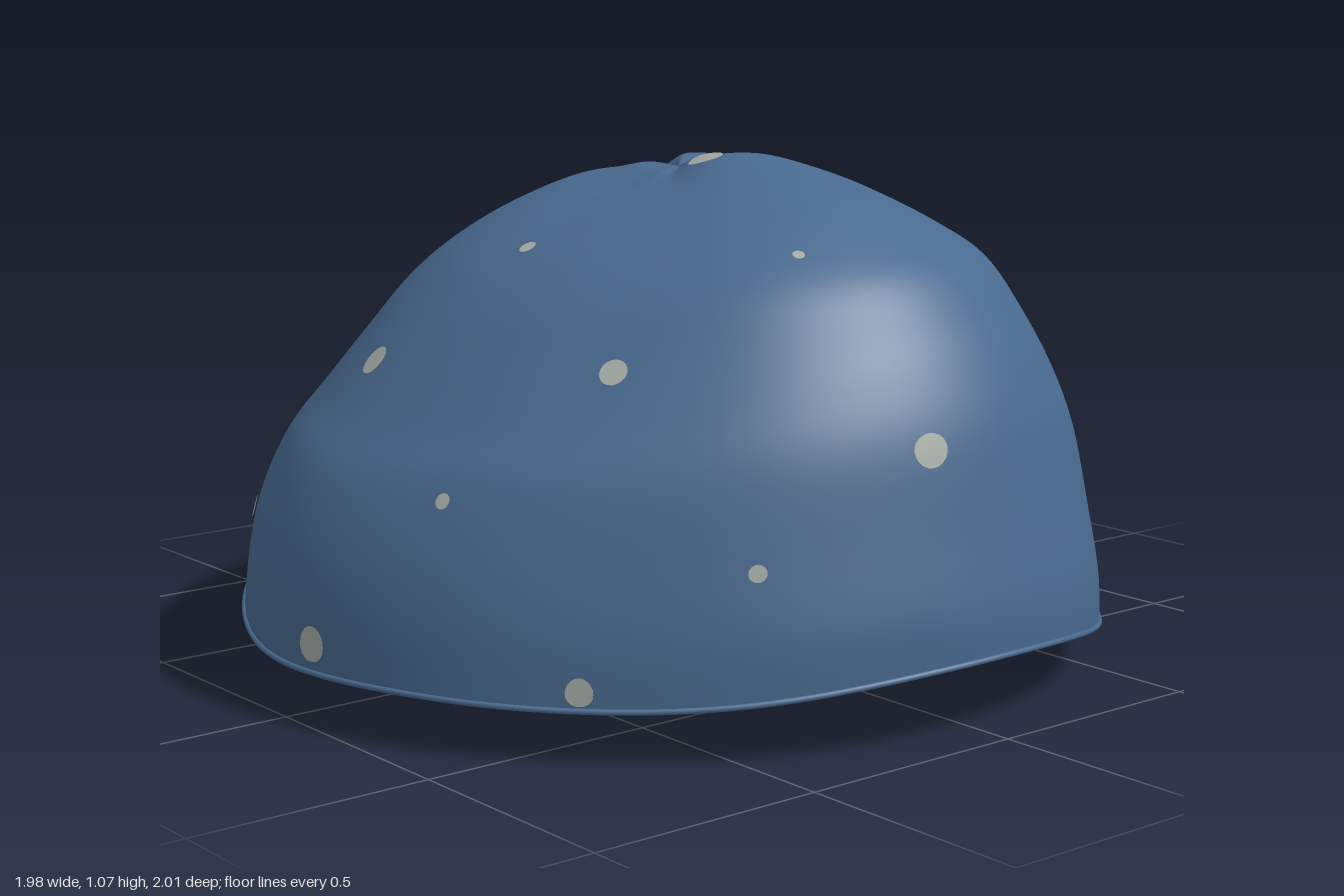
import * as THREE from 'three';
import { mergeVertices } from 'three/addons/utils/BufferGeometryUtils.js';

const mat = (name, color) =>
  new THREE.MeshStandardMaterial({ name, color, side: THREE.DoubleSide });

// Rim radius every 22.5 degrees, turning from +x towards +z
const RIM = [0.975, 0.965, 0.95, 0.98, 0.995, 0.95, 0.895, 0.855, 0.87, 0.9, 0.945, 0.99, 1, 0.955, 0.905, 0.95];

// Crown-to-rim profiles [share of rim radius, height] on the four sides
const PROFILES = [
  [[0, 1.03], [0.08, 1.055], [0.2, 1.07], [0.34, 1.05], [0.47, 1.015], [0.62, 0.955], [0.75, 0.88],
    [0.83, 0.79], [0.89, 0.7], [0.94, 0.58], [0.975, 0.4], [1, 0.26], [1, 0.16]],
  [[0, 1.03], [0.08, 1.025], [0.17, 1.0], [0.28, 0.975], [0.4, 0.93], [0.52, 0.865], [0.62, 0.785],
    [0.71, 0.695], [0.82, 0.575], [0.9, 0.49], [0.96, 0.37], [0.99, 0.25], [1, 0.11]],
  [[0, 1.03], [0.1, 1.035], [0.2, 1.02], [0.32, 1.0], [0.46, 0.945], [0.575, 0.88], [0.667, 0.81],
    [0.75, 0.7], [0.81, 0.62], [0.87, 0.53], [0.92, 0.45], [0.95, 0.37], [1, 0.28]],
  [[0, 1.03], [0.1, 1.045], [0.2, 1.04], [0.34, 0.99], [0.45, 0.94], [0.58, 0.88], [0.65, 0.84],
    [0.75, 0.69], [0.85, 0.51], [0.9, 0.4], [0.94, 0.32], [0.98, 0.18], [1, 0.07]],
].map((p) => new THREE.SplineCurve(p.map(([r, y]) => new THREE.Vector2(r, y))));

const TAU = Math.PI * 2;
const wrap = (a) => ((a % TAU) + TAU) % TAU;

// Smooth periodic rim radius
function rimRadius(a) {
  const f = (wrap(a) / TAU) * 16, i = Math.floor(f), t = f - i;
  const [p, q, r, s] = [-1, 0, 1, 2].map((k) => RIM[(i + k + 16) % 16]);
  return q + 0.5 * t * (r - p + t * (2 * p - 5 * q + 4 * r - s + t * (3 * (q - r) + s - p)));
}

// A fold running outwards from the pinched crown
function fold(a, at, width) {
  const d = Math.atan2(Math.sin(a - at), Math.cos(a - at));
  return Math.exp(-((d / width) ** 2));
}

// Point on the cap: a = angle, t = 0 at the crown, 1 at the rim
function surface(a, t) {
  const q = wrap(a) / (Math.PI / 2), k = Math.floor(q) % 4;
  const w = Math.sin((q - Math.floor(q)) * Math.PI / 2) ** 2;
  const p = PROFILES[k].getPoint(t).lerp(PROFILES[(k + 1) % 4].getPoint(t), w);
  const r = p.x * rimRadius(a);
  const pinch = (p.x / 0.14) * Math.exp(1 - p.x / 0.14);
  const y = p.y
    - 0.04 * Math.max(0, Math.cos(a)) * Math.sin(2 * a) ** 2 * t ** 3
    - pinch * (0.02 * fold(a, 3.5, 0.25) + 0.014 * fold(a, 0.75, 0.25) - 0.008 * fold(a, 3.95, 0.3));
  return new THREE.Vector3(r * Math.cos(a), y, r * Math.sin(a));
}

const H = 0.01;
function frame(a, t) {
  const t0 = Math.max(0, t - H), t1 = Math.min(1, t + H);
  const da = surface(a + H, t).sub(surface(a - H, t)).divideScalar(2 * H);
  const dt = surface(a, t1).sub(surface(a, t0)).divideScalar(t1 - t0);
  return { da, dt, n: da.clone().cross(dt).normalize() };
}

// Nearest surface parameters to a point
function locate(x, y, z) {
  const a = Math.atan2(z, x), target = new THREE.Vector3(x, y, z);
  let best = 0, min = Infinity;
  for (let i = 0; i <= 600; i++) {
    const d = surface(a, i / 600).distanceToSquared(target);
    if (d < min) { min = d; best = i / 600; }
  }
  return [a, best];
}

function gridGeometry(rows, cols, closed, at) {
  const pos = [], idx = [], n = closed ? cols : cols + 1;
  for (let i = 0; i <= rows; i++)
    for (let j = 0; j < n; j++) pos.push(...at(i / rows, j / cols).toArray());
  for (let i = 0; i < rows; i++)
    for (let j = 0; j < cols; j++) {
      const p = i * n + j, q = i * n + ((j + 1) % n);
      idx.push(p, q, p + n, q, q + n, p + n);
    }
  const g = new THREE.BufferGeometry();
  g.setAttribute('position', new THREE.Float32BufferAttribute(pos, 3));
  g.setIndex(idx);
  const merged = mergeVertices(g);
  merged.computeVertexNormals();
  return merged;
}

// Small oval patch lying on the cloth
function spotGeometry([x, z, y, ru, rv], lift) {
  const [a, t] = locate(x, y, z), { da, dt } = frame(a, t);
  const g = new THREE.CircleGeometry(1, 20), p = g.attributes.position;
  for (let i = 0; i < p.count; i++) {
    const pa = a + p.getX(i) * ru / da.length();
    const pt = Math.min(0.995, t + p.getY(i) * rv / dt.length());
    const s = surface(pa, pt).addScaledVector(frame(pa, pt).n, lift);
    p.setXYZ(i, s.x, s.y, s.z);
  }
  g.computeVertexNormals();
  return g;
}

// Long narrow patch on the back, every point laid onto the cloth
function streakGeometry(lift) {
  const path = new THREE.QuadraticBezierCurve3(
    new THREE.Vector3(0.295, 0.635, -0.735), new THREE.Vector3(0.42, 0.76, -0.61),
    new THREE.Vector3(0.505, 0.84, -0.43));
  return gridGeometry(24, 4, false, (s, c) => {
    const p = path.getPoint(s);
    const { n } = frame(...locate(p.x, p.y, p.z));
    const half = 0.025 * Math.sqrt(Math.max(0.15, 1 - (2 * s - 1) ** 6));
    p.addScaledVector(path.getTangent(s).cross(n).normalize(), (c * 2 - 1) * half);
    const uv = locate(p.x, p.y, p.z);
    return surface(...uv).addScaledVector(frame(...uv).n, lift);
  });
}

// Flat cloth tail that flares away from the knot
function tailGeometry(points, side) {
  const curve = new THREE.CatmullRomCurve3(points.map((p) => new THREE.Vector3(...p)));
  const g = new THREE.BoxGeometry(1, 1, 1, 10, 1, 2), p = g.attributes.position;
  for (let i = 0; i < p.count; i++) {
    const s = p.getX(i) + 0.5, tan = curve.getTangent(s);
    const across = new THREE.Vector3(-0.25, 0.1, side).cross(tan).cross(tan).normalize();
    const up = across.clone().cross(tan);
    const width = 0.03 + 0.05 * Math.sin(Math.min(1, s * 1.3) * Math.PI * 0.6);
    const v = curve.getPoint(s)
      .addScaledVector(across, p.getZ(i) * width)
      .addScaledVector(up, p.getY(i) * 0.012 + (Math.abs(p.getZ(i)) - 0.25) * 0.015);
    p.setXYZ(i, v.x, v.y, v.z);
  }
  g.computeVertexNormals();
  return g;
}

export function createModel() {
  const cap = new THREE.Group();
  cap.name = 'clothCap';
  const blue = mat('blueCloth', 0x48698f);
  const grey = mat('paleSpots', 0xa6aca6);
  const add = (name, geometry, material) => {
    const m = new THREE.Mesh(geometry, material);
    m.name = name;
    cap.add(m);
    return m;
  };

  // Dome and its thin rolled hem
  add('dome', gridGeometry(72, 128, true, (t, c) => surface(c * TAU, t)), blue);
  const rim = Array.from({ length: 64 }, (_, i) => surface(i / 64 * TAU, 1));
  add('hem', new THREE.TubeGeometry(new THREE.CatmullRomCurve3(rim, true), 160, 0.006, 8, true), blue);

  // Spots [x, z, y, half width, half height], showing on both faces of the cloth
  const spots = [
    [-0.365, -0.72, 0.53, 0.03, 0.046], [0.16, 0.06, 1.06, 0.034, 0.044], [0.6, 0.2, 0.885, 0.012, 0.012],
    [0.09, 0.475, 0.92, 0.018, 0.018], [0.51, 0.58, 0.73, 0.028, 0.028], [-0.09, 0.725, 0.68, 0.034, 0.034],
    [0.9, 0.13, 0.57, 0.037, 0.033], [0.345, 0.88, 0.49, 0.015, 0.016], [-0.35, 0.83, 0.34, 0.032, 0.023],
    [0.09, 0.99, 0.165, 0.036, 0.036], [0.605, 0.73, 0.14, 0.027, 0.028], [0.78, 0.455, 0.36, 0.018, 0.017],
  ];
  for (const lift of [0.005, -0.005]) {
    const place = lift > 0 ? 'outer' : 'inner';
    for (const s of spots) add(place + 'Spot', spotGeometry(s, lift), grey);
    add(place + 'Streak', streakGeometry(lift), grey);
  }

  // Knot with two tails
  const knot = add('knot', new THREE.SphereGeometry(0.045, 20, 14), blue);
  knot.position.set(-0.82, 0.212, -0.505);
  knot.scale.set(0.95, 0.8, 1.1);
  add('backTail', tailGeometry([[-0.83, 0.2, -0.52], [-0.88, 0.12, -0.56], [-0.975, 0.065, -0.6]], 1), blue);
  add('frontTail', tailGeometry([[-0.83, 0.2, -0.49], [-0.89, 0.1, -0.455], [-0.975, 0.02, -0.41]], 1), blue);
  return cap;
}
